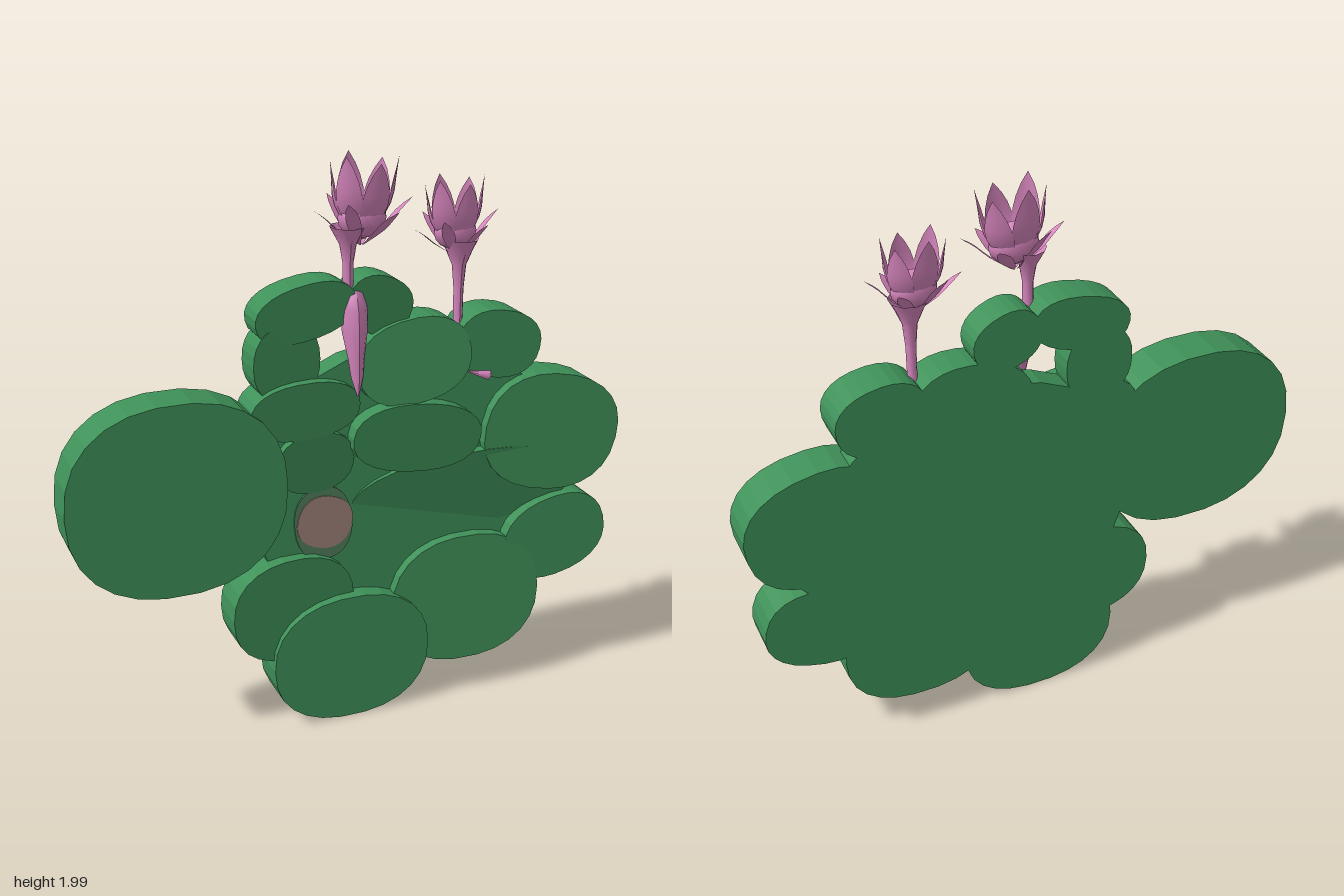
import * as THREE from 'three';

const green = new THREE.MeshStandardMaterial({ color: 0x3f9159 });
green.name = 'leafGreen';
const pink = new THREE.MeshStandardMaterial({ color: 0xd685bd, side: THREE.DoubleSide });
pink.name = 'petalPink';
const brown = new THREE.MeshStandardMaterial({ color: 0xa08379 });
brown.name = 'dustyRose';
const mossy = new THREE.MeshStandardMaterial({ color: 0x527f5c });
mossy.name = 'mutedMoss';

// Rounded pad: a turned, slightly squared oval reaching to the flat back.
// Its front face tilts by (tiltX, tiltY) about the pad's centre.
function pad(name, x, y, rx, ry, turn, front, tiltX = 0, tiltY = 0, material = green, back = -0.085) {
  const points = [];
  const sides = 26;
  const power = 2 / 2.3;
  for (let i = 0; i < sides; i++) {
    const t = i / sides * Math.PI * 2;
    const c = Math.cos(t), s = Math.sin(t);
    const p = new THREE.Vector2(
      rx * Math.sign(c) * Math.abs(c) ** power,
      ry * Math.sign(s) * Math.abs(s) ** power);
    points.push(p.rotateAround(new THREE.Vector2(), turn));
  }
  const geo = new THREE.ExtrudeGeometry(new THREE.Shape(points), { depth: 1, bevelEnabled: false });
  const pos = geo.attributes.position;
  for (let i = 0; i < pos.count; i++) {
    const z = front + tiltX * pos.getX(i) + tiltY * pos.getY(i);
    pos.setZ(i, pos.getZ(i) > 0.5 ? z : back);
  }
  geo.computeVertexNormals();
  const mesh = new THREE.Mesh(geo, material);
  mesh.name = name;
  mesh.position.set(x, y, 0);
  return mesh;
}

// Petal bent round an axis: radius and angular width follow the height
function petal(height, radius, width, flare, angle) {
  const geo = new THREE.PlaneGeometry(1, 1, 4, 7);
  const pos = geo.attributes.position;
  for (let i = 0; i < pos.count; i++) {
    const u = pos.getX(i) * 2, v = pos.getY(i) + 0.5;
    const r = radius * (0.15 + 0.85 * Math.sin(Math.min(1, v * 1.7) * Math.PI / 2)) + flare * v * v;
    const t = angle + u * width * (1 - v ** 3);
    pos.setXYZ(i, r * Math.sin(t), v * height, r * Math.cos(t));
  }
  geo.computeVertexNormals();
  return geo;
}

// Flower with a closed cup, spreading outer petals and a rounded base
function flower(name, x, y, z, size, lean) {
  const g = new THREE.Group();
  g.name = name;
  const add = (part, geo) => {
    const m = new THREE.Mesh(geo, pink);
    m.name = part;
    g.add(m);
    return m;
  };
  for (let i = 0; i < 6; i++) {
    const a = i * Math.PI / 3;
    add('cupPetal', petal(0.25 + 0.02 * (i % 2), 0.1, 0.62, 0.015, a + 0.25));
    const outer = add('outerPetal', petal(0.15 - 0.03 * (i % 2), 0.075, 0.3, 0.1, a + Math.PI / 2));
    outer.position.y = -0.02;
  }
  const base = add('flowerBase', new THREE.SphereGeometry(0.085, 12, 8));
  base.scale.y = 0.8;
  base.position.y = 0.07;
  g.position.set(x, y, z);
  g.scale.set(size, size, size * 0.62);
  g.rotation.z = lean;
  return g;
}

// Turned stem section from [radius, y] pairs, leaning forward at its foot by "lean"
function stem(name, x, z, lean, profile) {
  const geo = new THREE.LatheGeometry(profile.map(([r, y]) => new THREE.Vector2(r, y)), 10);
  const top = profile[profile.length - 1][1];
  const pos = geo.attributes.position;
  for (let i = 0; i < pos.count; i++) pos.setZ(i, pos.getZ(i) + lean * (top - pos.getY(i)));
  geo.computeVertexNormals();
  const m = new THREE.Mesh(geo, pink);
  m.name = name;
  m.position.set(x, 0, z);
  return m;
}

export function createModel() {
  const model = new THREE.Group();
  model.name = 'waterLilies';

  // Recessed backing between the pads
  model.add(pad('backing', 0.2, 0.85, 0.55, 0.5, 0, 0.005));

  // Pads, from the bottom up
  model.add(
    pad('bottomPad', -0.025, 0.245, 0.29, 0.235, 0, 0.07),
    pad('lowerLeftPad', -0.23, 0.46, 0.225, 0.19, 0, 0.045, -0.08, 0.02),
    pad('lowerRightPad', 0.42, 0.385, 0.285, 0.24, 0, 0.055, 0.03, -0.04),
    pad('smallRightPad', 0.77, 0.57, 0.2, 0.155, 0.25, 0.06, 0.04),
    pad('longMiddlePad', 0.42, 0.79, 0.43, 0.15, 0.05, 0.02, 0.04, 0.15),
    pad('largeLeftPad', -0.628, 0.935, 0.372, 0.335, 0, 0.068),
    pad('rightPad', 0.74, 0.975, 0.26, 0.215, -0.2, 0.055, 0.05),
    pad('innerPad', -0.14, 0.98, 0.14, 0.11, 0, 0.025, -0.05, 0.1),
    pad('centreOvalPad', 0.22, 1.03, 0.24, 0.125, -0.12, 0.058, 0, 0.08),
    pad('leftMiddlePad', -0.18, 1.175, 0.195, 0.1, 0, 0.045, -0.05, 0.05),
    pad('upperCentrePad', 0.21, 1.3, 0.205, 0.145, 0.15, 0.045, 0.04, -0.08),
    pad('upperRightPad', 0.52, 1.325, 0.155, 0.12, -0.2, 0.05, 0.06, 0.04),
    pad('upperLeftPad', -0.235, 1.34, 0.12, 0.13, 0, 0.02, -0.12),
    pad('topLeftPad', -0.17, 1.505, 0.175, 0.095, 0.2, 0.03, 0, 0.08),
    pad('topRightPad', 0.09, 1.5, 0.12, 0.1, -0.4, 0.02, 0, 0.1));

  // Faded patch in the middle
  model.add(
    pad('patchRim', -0.11, 0.75, 0.105, 0.135, 0.1, 0.011, 0, 0, mossy, 0.004),
    pad('patch', -0.105, 0.755, 0.1, 0.095, -0.3, 0.015, 0, 0, brown, 0.008));

  // Stems, the taller one rising from a slender bud
  model.add(
    stem('stemBud', 0, 0, 0.14, [[0.004, 1.21], [0.02, 1.27], [0.028, 1.34], [0.042, 1.42], [0.045, 1.5],
      [0.036, 1.55], [0.016, 1.57]]),
    stem('tallStem', -0.015, 0, 0, [[0.018, 1.55], [0.018, 1.65], [0.028, 1.71], [0.06, 1.77]]),
    stem('shortStem', 0.388, -0.01, 0, [[0.016, 1.4], [0.017, 1.52], [0.024, 1.6], [0.045, 1.65], [0.065, 1.69]]));

  model.add(
    flower('tallFlower', 0.03, 1.725, 0, 1, -0.05),
    flower('shortFlower', 0.372, 1.655, -0.01, 0.9, 0.03));

  // Small bud lying on the upper right pad
  const bud = new THREE.Mesh(new THREE.ConeGeometry(0.018, 0.09, 6), pink);
  bud.name = 'smallBud';
  bud.position.set(0.44, 1.23, 0.045);
  bud.rotation.z = 1.3;
  model.add(bud);

  return model;
}
